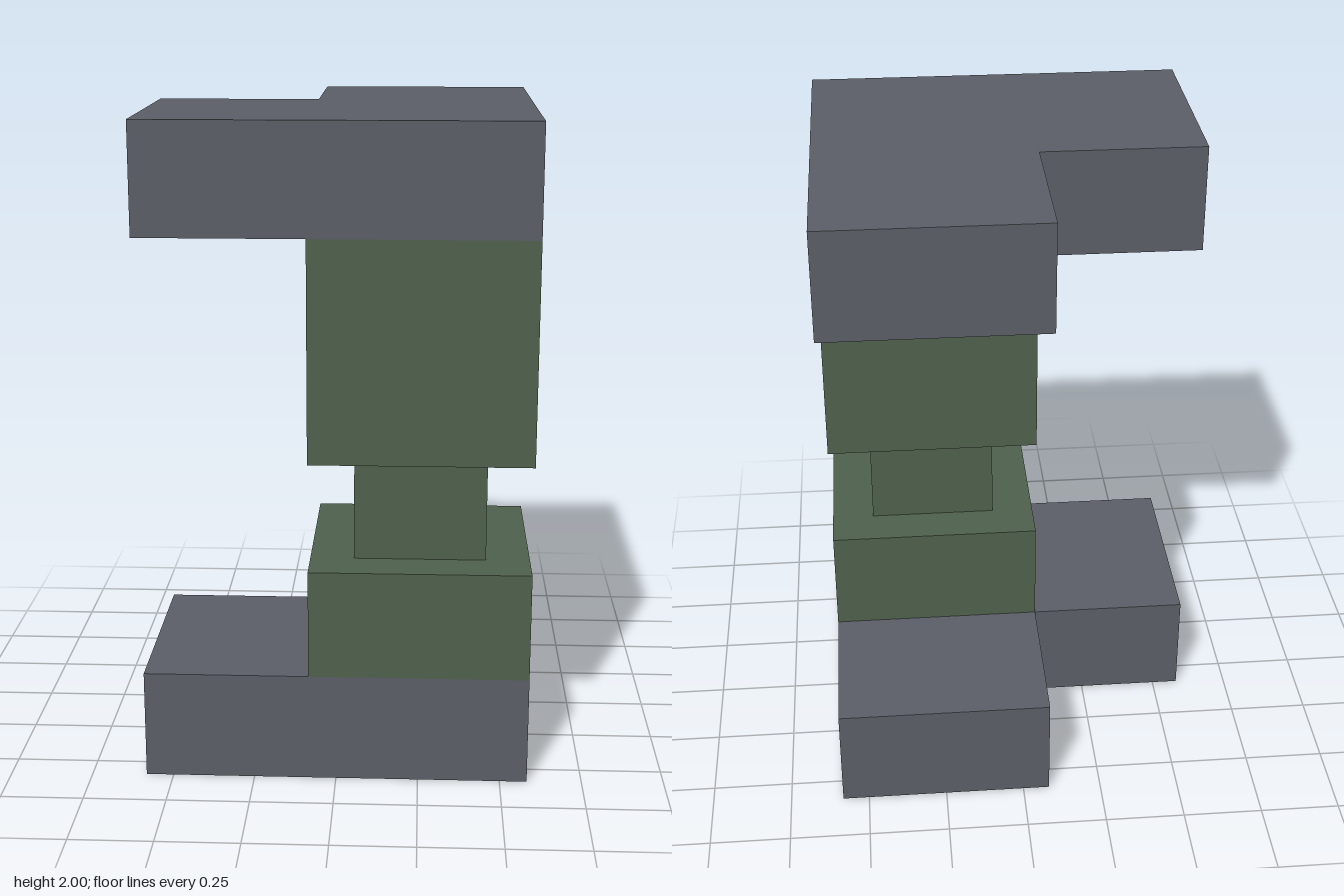
import * as THREE from 'three';

export function createModel() {
  const model = new THREE.Group();
  const E = 7 / 12;   // outer half width
  const N = 1 / 12;   // inner corner offset
  const T = 1 / 3;    // slab thickness
  const C = 0.25;     // pillar centre in x and z

  const grey = new THREE.MeshStandardMaterial({ color: 0x5a5e66 });
  grey.name = 'slate grey';
  const green = new THREE.MeshStandardMaterial({ color: 0x4e604c });
  green.name = 'moss green';

  // L-shaped slab with its notch at the back right corner
  const outline = new THREE.Shape(
    [[-E, -E], [E, -E], [E, E], [-N, E], [-N, N], [-E, N]].map(([x, y]) => new THREE.Vector2(x, y))
  );
  const slabGeometry = new THREE.ExtrudeGeometry(outline, { depth: T, bevelEnabled: false });
  slabGeometry.rotateX(-Math.PI / 2);

  function addSlab(name, y) {
    const slab = new THREE.Mesh(slabGeometry, grey);
    slab.name = name;
    slab.position.y = y;
    model.add(slab);
  }

  // Square pillar section between two heights
  function addBlock(name, width, bottom, top) {
    const block = new THREE.Mesh(new THREE.BoxGeometry(width, top - bottom, width), green);
    block.name = name;
    block.position.set(C, (bottom + top) / 2, C);
    model.add(block);
  }

  addSlab('baseSlab', 0);
  addBlock('lowerPillar', 2 / 3, T, 2 * T);
  addBlock('pillarNeck', 0.4, 2 * T, 1);
  addBlock('upperPillar', 2 / 3, 1, 2 - T);
  addSlab('topSlab', 2 - T);

  return model;
}
